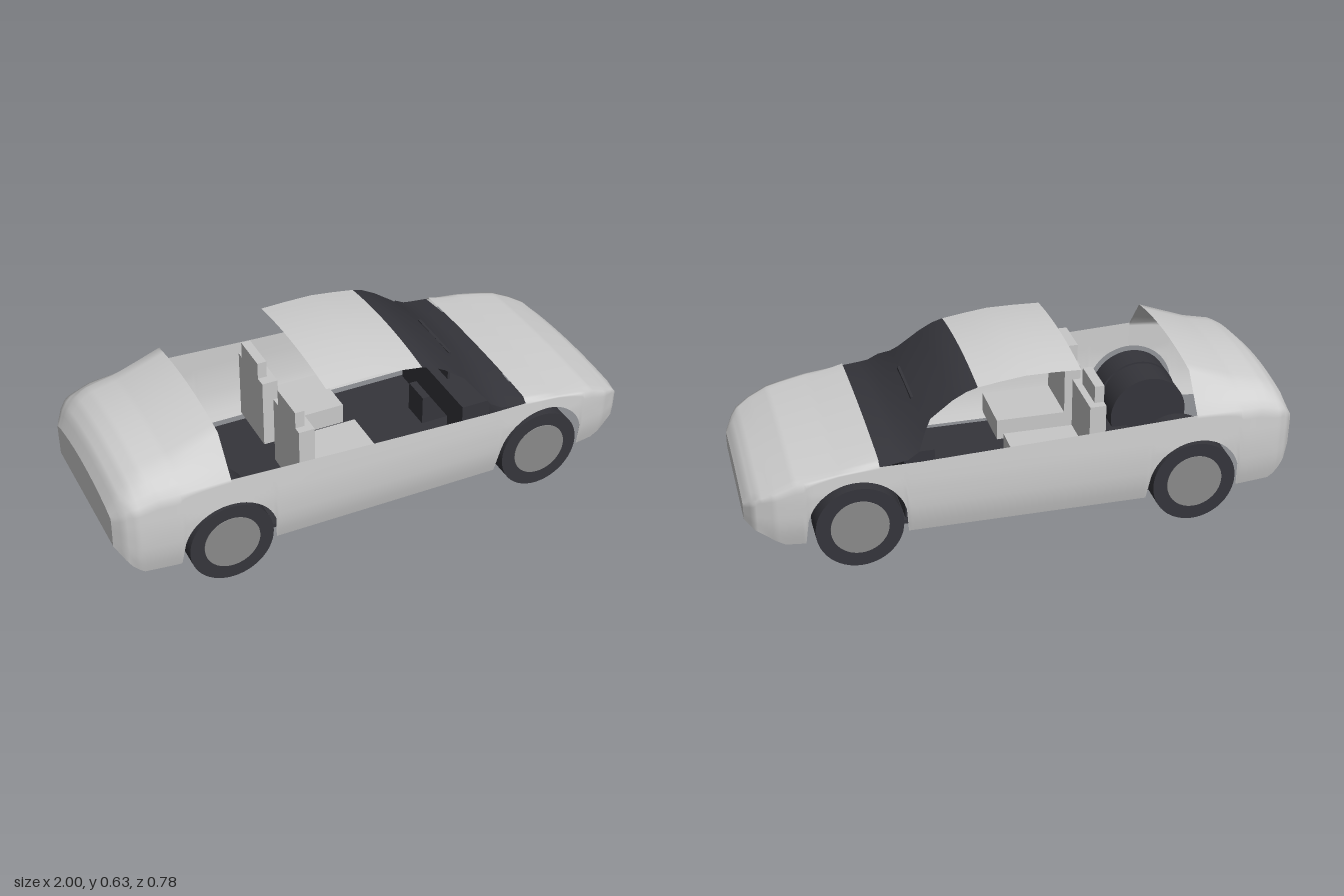
import * as THREE from 'three';

const paint = new THREE.MeshStandardMaterial({ color: 0xd0d0d0, side: THREE.DoubleSide });
paint.name = 'silver paint';
const dark = new THREE.MeshStandardMaterial({ color: 0x35353b, side: THREE.DoubleSide });
dark.name = 'dark glass and rubber';
const seatGrey = new THREE.MeshStandardMaterial({ color: 0xc8c8c8 });
seatGrey.name = 'seat grey';
const hubGrey = new THREE.MeshStandardMaterial({ color: 0x8a8a8a });
hubGrey.name = 'hub grey';

// Linear lookup in a table of [position, value] pairs
function lookup(table, x) {
  for (let i = 1; i < table.length; i++) {
    const [x0, v0] = table[i - 1], [x1, v1] = table[i];
    if (x <= x1) return v0 + (v1 - v0) * Math.max(0, (x - x0) / (x1 - x0));
  }
  return table[table.length - 1][1];
}

// Body outlines along x
const halfWidth = [[-1, .29], [-.97, .335], [-.93, .36], [-.8, .378], [-.6, .388], [.6, .388], [.78, .382], [.9, .362], [.97, .325], [1, .265]];
const sideBulge = [[.1, .92], [.15, .96], [.2, .985], [.3, 1], [.43, .99]];
const sill = [[-1, .21], [-.95, .135], [-.91, .1], [.87, .1], [.95, .15], [1, .175]];
const belt = [[-1, .33], [-.95, .39], [-.85, .42], [-.6, .43], [-.2, .412], [.4, .39], [.54, .39], [.68, .375], [.83, .348], [.95, .295], [1, .235]];
const top = [[-1, .37], [-.97, .43], [-.93, .468], [-.88, .493], [-.78, .515], [-.68, .552], [-.6, .582],
  [.54, .42], [.68, .39], [.83, .365], [.95, .31], [.98, .285], [1, .252]];
const shoulder = [[-1, .24], [-.9, .28], [-.6, .28], [.54, .365], [.9, .33], [1, .24]];
const arches = [[-.605, .155, .172], [.62, .165, .175]];

// Lower edge of the side panel, raised over the wheels
function lowerEdge(x) {
  let y = lookup(sill, x);
  for (const [cx, cy, r] of arches) {
    const d = Math.abs(x - cx);
    if (d < r) y = Math.max(y, cy + Math.sqrt(r * r - d * d));
  }
  return y;
}

function sidePoints(x) {
  const y0 = lowerEdge(x), y1 = lookup(belt, x), pts = [];
  for (let i = 0; i <= 8; i++) {
    const y = y0 + (y1 - y0) * i / 8;
    pts.push([x, y, lookup(halfWidth, x) * lookup(sideBulge, y)]);
  }
  return pts;
}

// Side, sloping shoulder and crowned top, up to the centre line
function halfSection(x) {
  const pts = sidePoints(x), [, yb, zb] = pts[pts.length - 1];
  const yt = lookup(top, x), zs = lookup(shoulder, x), drop = x < 0 ? .025 : .012;
  for (let i = 1; i <= 3; i++) {
    const t = i / 3;
    pts.push([x, yb + (yt - drop - yb) * t, zb + (zs - zb) * t]);
  }
  for (let i = 1; i <= 6; i++) {
    const t = 1 - i / 6;
    pts.push([x, yt - drop * t * t, zs * t]);
  }
  return pts;
}

const mirror = pts => pts.map(([x, y, z]) => [x, y, -z]);
const fullSection = half => [...half, ...mirror(half).reverse().slice(1)];

// Crowned strip across the car: centre height, edge height, half width
function crown([x, yc, ye, w]) {
  return Array.from({ length: 17 }, (_, i) => {
    const t = 1 - i / 8;
    return [x, yc - (yc - ye) * t * t, w * t];
  });
}

// Skin a list of equal-length cross-sections
function loft(name, rows, material) {
  const n = rows[0].length, index = [];
  for (let i = 0; i < rows.length - 1; i++) {
    for (let j = 0; j < n - 1; j++) {
      const a = i * n + j, b = a + n;
      index.push(a, b, a + 1, b, b + 1, a + 1);
    }
  }
  const g = new THREE.BufferGeometry();
  g.setAttribute('position', new THREE.Float32BufferAttribute(rows.flat(2), 3));
  g.setIndex(index);
  g.computeVertexNormals();
  const m = new THREE.Mesh(g, material);
  m.name = name;
  return m;
}

function stations(a, b, step = .01) {
  const n = Math.round((b - a) / step);
  return Array.from({ length: n + 1 }, (_, i) => a + (b - a) * i / n);
}

// Box given by its limits
function box(name, [x0, x1], [y0, y1], [z0, z1], material) {
  const m = new THREE.Mesh(new THREE.BoxGeometry(x1 - x0, y1 - y0, z1 - z0), material);
  m.position.set((x0 + x1) / 2, (y0 + y1) / 2, (z0 + z1) / 2);
  m.name = name;
  return m;
}

function disc(name, x, y, r, z0, z1, material) {
  const m = new THREE.Mesh(new THREE.CylinderGeometry(r, r, Math.abs(z1 - z0), 48), material);
  m.rotation.x = Math.PI / 2;
  m.position.set(x, y, (z0 + z1) / 2);
  m.name = name;
  return m;
}

export function createModel() {
  const car = new THREE.Group();
  car.name = 'openTopCar';

  // Body shell: tail, doors and nose
  car.add(loft('tail', stations(-1, -.6).map(x => fullSection(halfSection(x))), paint));
  car.add(loft('nose', stations(.54, 1).map(x => fullSection(halfSection(x))), paint));
  const doorRows = stations(-.6, .54).map(sidePoints);
  car.add(loft('leftDoorPanel', doorRows, paint));
  car.add(loft('rightDoorPanel', doorRows.map(r => mirror(r).reverse()), paint));
  const front = halfSection(1), back = halfSection(-1);
  car.add(loft('frontBumper', [front, mirror(front)], paint));
  car.add(loft('rearBumper', [mirror(back), back], paint));

  // Roof panel and windscreen
  car.add(loft('roof', [[-.2, .632, .612, .28], [-.1, .635, .615, .28], [0, .635, .615, .28],
    [.09, .624, .604, .28], [.17, .612, .592, .28]].map(crown), paint));
  car.add(loft('windscreen', [[.17, .612, .592, .28], [.21, .602, .58, .28], [.26, .575, .553, .28], [.34, .518, .495, .285],
    [.365, .498, .465, .315], [.4, .473, .425, .378], [.44, .446, .402, .384], [.48, .43, .396, .385], [.54, .42, .39, .385]].map(crown), dark));

  // Floor, dashboard and instrument panel
  car.add(box('floor', [-.52, .46], [.1, .115], [-.31, .31], dark));
  car.add(box('dashboard', [.33, .44], [.27, .38], [-.3, .3], dark));
  car.add(box('console', [.3, .42], [.155, .27], [-.055, .055], dark));
  car.add(box('instrumentPanel', [.365, .375], [.38, .498], [-.12, .12], dark));

  for (const s of [1, -1]) {
    const span = (a, b) => (s > 0 ? [a, b] : [-b, -a]);
    car.add(box('footwell', [.4, .44], [.115, .27], span(.068, .3), dark));

    // Seats
    const seat = new THREE.Group();
    seat.name = s > 0 ? 'leftSeat' : 'rightSeat';
    seat.add(box('cushion', [-.24, .02], [.18, .26], span(.05, .27), seatGrey));
    seat.add(box('backrest', [-.3, -.24], [.18, .45], span(.05, .27), seatGrey));
    seat.add(box('headrest', [-.3, -.265], [.45, .515], span(.09, .24), seatGrey));
    car.add(seat);

    // Wheels with hubs and wide inner drums
    for (const x of [-.605, .615]) {
      const wheel = new THREE.Group();
      wheel.name = x > 0 ? 'frontWheel' : 'rearWheel';
      wheel.add(disc('tyre', x, .155, .155, s * .277, s * .38, dark));
      wheel.add(disc('hub', x, .157, .103, s * .37, s * .383, hubGrey));
      wheel.add(disc('innerDrum', x, .155, .15, s * .14, s * .273, dark));
      car.add(wheel);
    }
  }
  return car;
}
